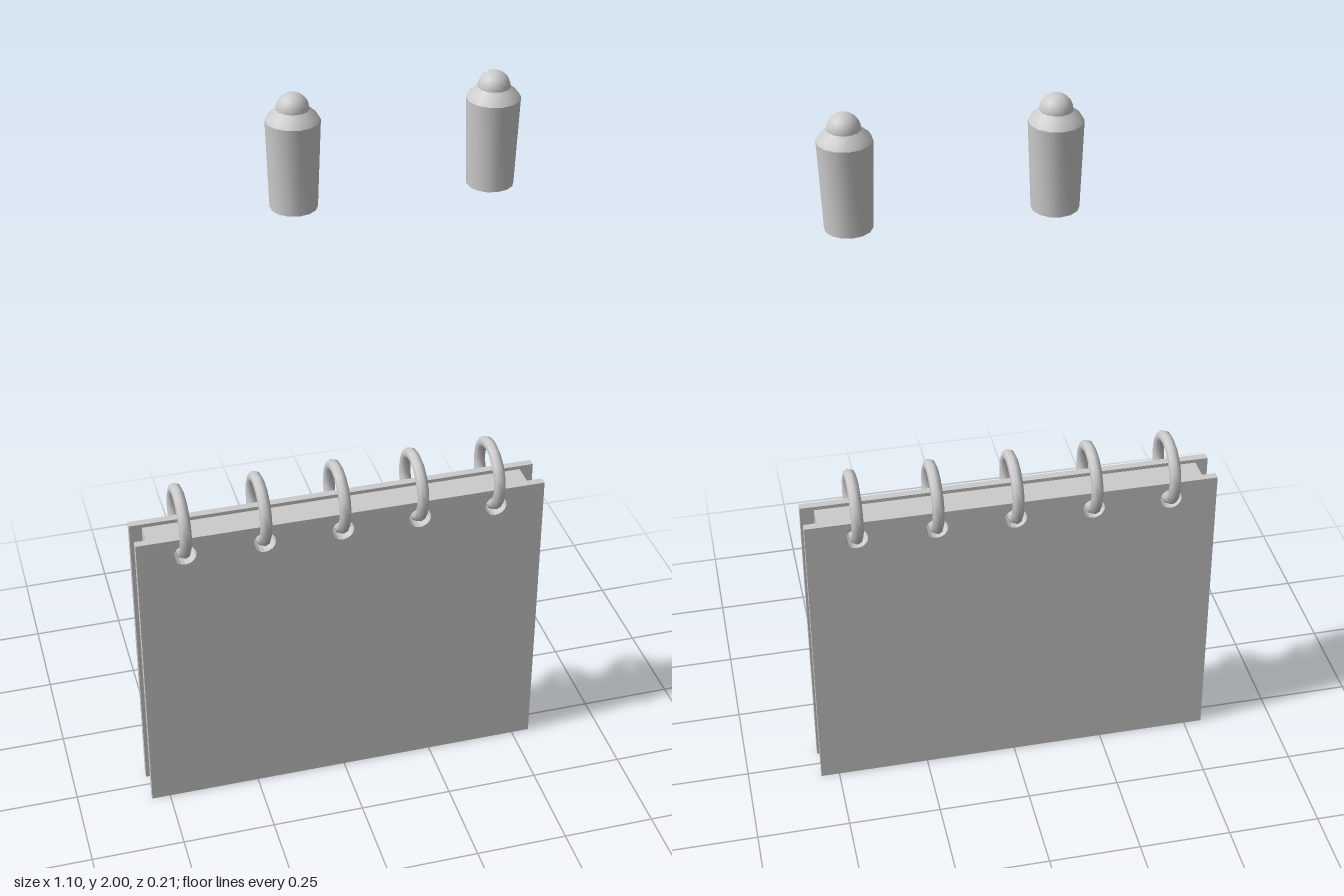
import * as THREE from 'three';
import { toCreasedNormals } from 'three/addons/utils/BufferGeometryUtils.js';

const material = new THREE.MeshStandardMaterial({ color: 0xcccccc });
const RING_X = [-2, -1, 0, 1, 2].map((i) => i * 0.21 - 0.004);
const HOLE_Y = 0.81;

function addMesh(parent, name, geometry, x = 0, y = 0, z = 0) {
  const mesh = new THREE.Mesh(geometry, material);
  mesh.name = name;
  mesh.position.set(x, y, z);
  parent.add(mesh);
  return mesh;
}

// Flat board in the xy plane, punched with a row of ring holes
function punchedBoard(x0, x1, y0, y1, depth) {
  const shape = new THREE.Shape([
    new THREE.Vector2(x0, y0), new THREE.Vector2(x1, y0),
    new THREE.Vector2(x1, y1), new THREE.Vector2(x0, y1),
  ]);
  for (const x of RING_X) {
    shape.holes.push(new THREE.Path().absarc(x, HOLE_Y, 0.03, 0, Math.PI * 2, true));
  }
  return new THREE.ExtrudeGeometry(shape, { depth, bevelEnabled: false, curveSegments: 8 });
}

// Tapered peg with a sloped shoulder and a round knob
function makePeg() {
  const peg = new THREE.Group();
  peg.name = 'peg';
  const profile = [
    [0, 1.71], [0.058, 1.71], [0.066, 1.933], [0.059, 1.944], [0.045, 1.956], [0.036, 1.965], [0, 1.965],
  ].map(([r, y]) => new THREE.Vector2(r, y));
  const body = new THREE.LatheGeometry(profile, 14);
  addMesh(peg, 'pegBody', toCreasedNormals(body, 0.55));
  addMesh(peg, 'pegKnob', new THREE.SphereGeometry(0.04, 16, 12), 0, 1.96, 0);
  return peg;
}

export function createModel() {
  const model = new THREE.Group();
  model.name = 'ringBinder';

  // Covers and the page block between them
  const cover = punchedBoard(-0.55, 0.55, 0, 0.86, 0.021);
  addMesh(model, 'frontCover', cover, 0, 0, 0.04);
  addMesh(model, 'backCover', cover, 0, 0, -0.052);
  addMesh(model, 'pages', punchedBoard(-0.517, 0.513, 0.03, 0.85, 0.071), 0, 0, -0.031);

  // Binding rings
  const ringGeometry = new THREE.TorusGeometry(0.084, 0.016, 8, 16);
  for (const x of RING_X) {
    const ring = addMesh(model, 'bindingRing', ringGeometry, x, 0.876, 0);
    ring.rotation.y = Math.PI / 2;
  }

  // Pair of loose pegs above the binder
  for (const x of [-0.1, 0.394]) {
    const peg = makePeg();
    peg.position.set(x, 0, -0.04);
    model.add(peg);
  }
  return model;
}
